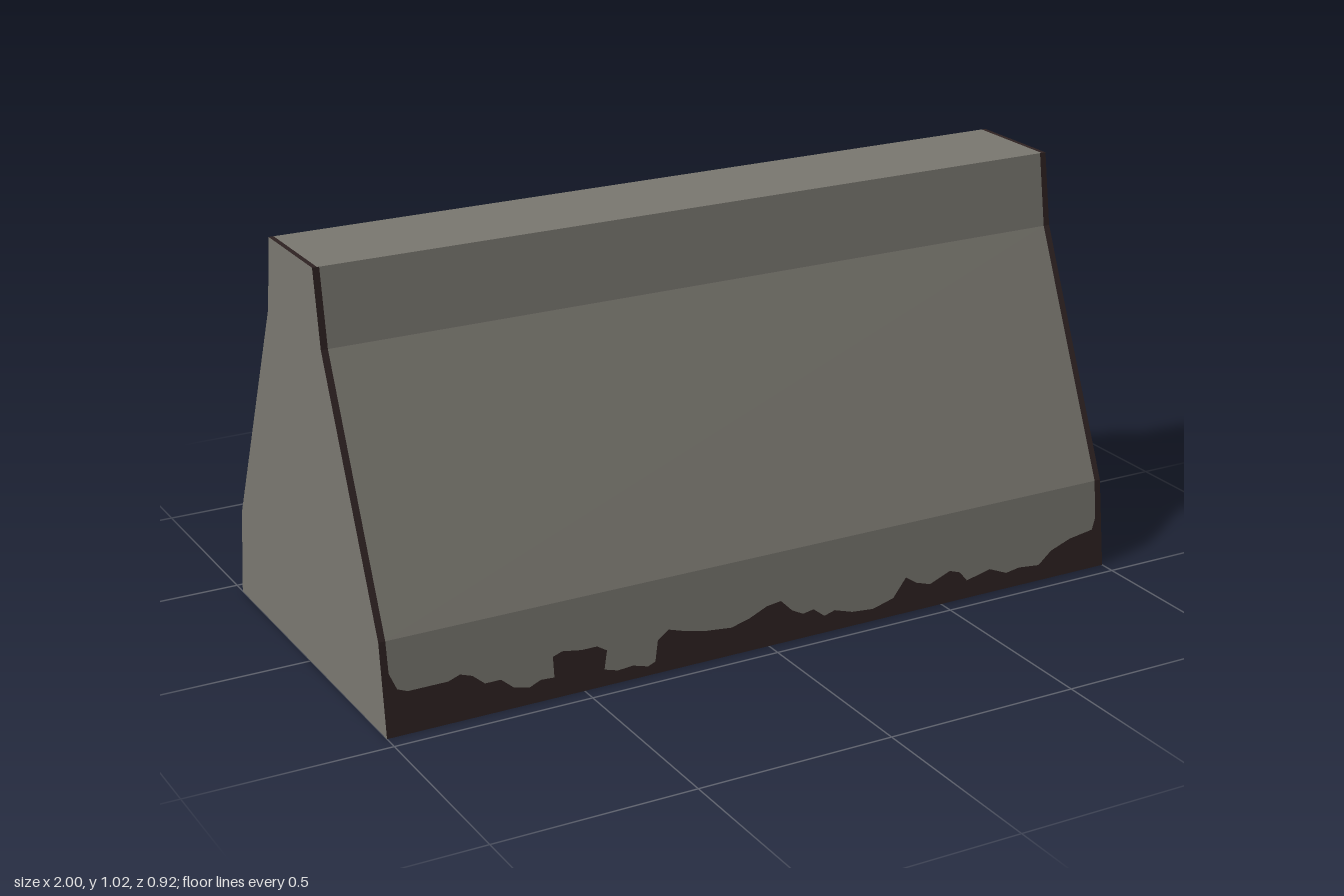
import * as THREE from 'three';

// Half cross-section from the foot to the crest: [height, half depth]
const PROFILE = [[0, 0.459], [0.227, 0.43], [0.837, 0.163], [1.022, 0.133]];
const HALF = 1;
const EDGE = 0.983; // where the grime along the vertical edges ends

// Ragged upper limit of the grime on the foot, left to right: [x, y]
const RAGGED = [
  [-0.982, 0.15], [-0.965, 0.11], [-0.94, 0.1], [-0.84, 0.1], [-0.81, 0.11], [-0.78, 0.1],
  [-0.75, 0.075], [-0.71, 0.075], [-0.68, 0.05], [-0.64, 0.04], [-0.61, 0.052], [-0.575, 0.05],
  [-0.575, 0.1], [-0.55, 0.108], [-0.5, 0.1], [-0.46, 0.1], [-0.435, 0.085], [-0.445, 0.04],
  [-0.41, 0.03], [-0.37, 0.033], [-0.33, 0.022], [-0.31, 0.03], [-0.3, 0.08], [-0.27, 0.1],
  [-0.23, 0.088], [-0.17, 0.075], [-0.1, 0.068], [-0.05, 0.08], [0, 0.1], [0.04, 0.105],
  [0.07, 0.075], [0.1, 0.06], [0.13, 0.065], [0.16, 0.042], [0.19, 0.05], [0.24, 0.035],
  [0.3, 0.03], [0.36, 0.045], [0.4, 0.09], [0.43, 0.07], [0.47, 0.058], [0.53, 0.08],
  [0.56, 0.07], [0.58, 0.045], [0.65, 0.06], [0.7, 0.04], [0.74, 0.046], [0.8, 0.04],
  [0.84, 0.07], [0.9, 0.09], [0.97, 0.1], [0.982, 0.13],
];

const concrete = new THREE.MeshStandardMaterial({ color: 0x7a7870 });
concrete.name = 'concrete';
const grime = new THREE.MeshStandardMaterial({ color: 0x2e2222 });
grime.name = 'grime';

function flatShape(points) {
  return new THREE.ShapeGeometry(new THREE.Shape(points.map(([x, y]) => new THREE.Vector2(x, y))));
}

function addMesh(parent, name, geometry, material) {
  const mesh = new THREE.Mesh(geometry, material);
  mesh.name = name;
  parent.add(mesh);
  return mesh;
}

// Lean a flat outline onto the sloping band between two profile points
function lean(geometry, [y0, z0], [y1, z1]) {
  const p = geometry.attributes.position;
  for (let i = 0; i < p.count; i++) {
    p.setZ(i, z0 + (z1 - z0) * (p.getY(i) - y0) / (y1 - y0));
  }
  geometry.computeVertexNormals();
  return geometry;
}

// One long side: a grimy foot, then two bands with grimy vertical edges
function createSide(name) {
  const side = new THREE.Group();
  side.name = name;
  const names = ['foot', 'slope', 'crest'];
  for (let i = 0; i < 3; i++) {
    const a = PROFILE[i], b = PROFILE[i + 1];
    const band = (part, points, material) =>
      addMesh(side, names[i] + part, lean(flatShape(points), a, b), material);
    if (i === 0) {
      const top = b[0];
      band('Concrete', [...RAGGED, [EDGE, top], [-EDGE, top]], concrete);
      band('Grime', [[-HALF, 0], [HALF, 0], [HALF, top], [EDGE, top],
        ...[...RAGGED].reverse(), [-EDGE, top], [-HALF, top]], grime);
      continue;
    }
    const rect = (x0, x1) => [[x0, a[0]], [x1, a[0]], [x1, b[0]], [x0, b[0]]];
    band('Concrete', rect(-EDGE, EDGE), concrete);
    band('LeftEdgeGrime', rect(EDGE, HALF), grime);
    band('RightEdgeGrime', rect(-HALF, -EDGE), grime);
  }
  return side;
}

export function createModel() {
  const model = new THREE.Group();
  model.name = 'concreteBarrier';

  // Two matching long sides
  model.add(createSide('frontSide'));
  const back = createSide('backSide');
  back.rotation.y = Math.PI;
  model.add(back);

  // End walls
  const outline = [
    ...PROFILE.map(([y, z]) => [z, y]),
    ...[...PROFILE].reverse().map(([y, z]) => [-z, y]),
  ];
  for (const s of [1, -1]) {
    const end = addMesh(model, s > 0 ? 'leftEnd' : 'rightEnd', flatShape(outline), concrete);
    end.rotation.y = s * Math.PI / 2;
    end.position.x = s * HALF;
  }

  // Top face with narrow grimy ends
  const [topY, topZ] = PROFILE[3];
  const tip = 0.988;
  for (const [name, x0, x1, material] of [
    ['top', -tip, tip, concrete],
    ['topLeftGrime', tip, HALF, grime],
    ['topRightGrime', -HALF, -tip, grime],
  ]) {
    const plate = addMesh(model, name, new THREE.PlaneGeometry(x1 - x0, topZ * 2), material);
    plate.rotation.x = -Math.PI / 2;
    plate.position.set((x0 + x1) / 2, topY, 0);
  }

  // Underside
  const base = addMesh(model, 'underside', new THREE.PlaneGeometry(HALF * 2, PROFILE[0][1] * 2), grime);
  base.rotation.x = Math.PI / 2;

  return model;
}
